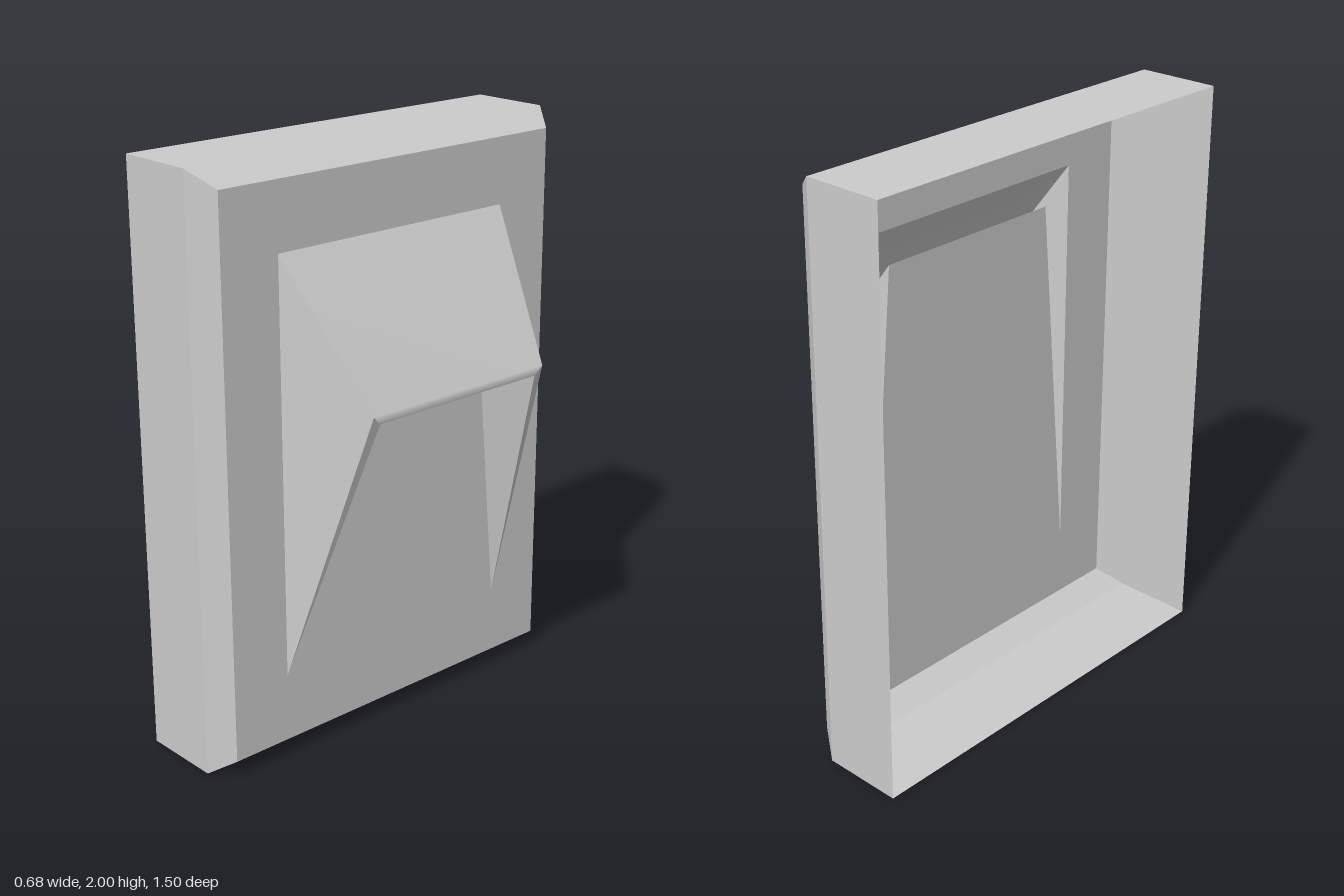
import * as THREE from 'three';

const material = new THREE.MeshStandardMaterial({ color: 0xcccccc, side: THREE.DoubleSide });

// Builds flat polygons (each a fan of [x, y, z] corners, counter-clockwise from outside).
function panels(name, faces) {
  const positions = [];
  for (const f of faces)
    for (let i = 1; i < f.length - 1; i++) positions.push(...f[0], ...f[i], ...f[i + 1]);
  const geometry = new THREE.BufferGeometry();
  geometry.setAttribute('position', new THREE.Float32BufferAttribute(positions, 3));
  geometry.computeVertexNormals();
  const mesh = new THREE.Mesh(geometry, material);
  mesh.name = name;
  return mesh;
}

// Rectangle in the plane x, inset from the full 2 x 1.5 outline.
function ring(x, inset) {
  const lo = inset, hi = 2 - inset, w = 0.75 - inset;
  return [[x, lo, w], [x, lo, -w], [x, hi, -w], [x, hi, w]];
}

function band(name, a, b) {
  return panels(name, a.map((p, i) => {
    const j = (i + 1) % 4;
    return [p, a[j], b[j], b[i]];
  }));
}

// Mirrors a face across z = 0, keeping its outside outward.
const mirrored = (face) => [face, face.map(([x, y, z]) => [x, y, -z]).reverse()];

export function createModel() {
  const group = new THREE.Group();
  group.name = 'hoodedPlate';

  // Open-backed frame with a chamfered front edge
  const back = ring(-0.34, 0), shoulder = ring(-0.055, 0), front = ring(0.03, 0.058);
  group.add(band('frameSides', back, shoulder), band('frameChamfer', shoulder, front));

  // Hood corners on the +z side
  const foot = [0.03, 0.295, 0.475];
  const top = [0.03, 1.715, 0.475];
  const peak = [0.34, 1.25, 0.37];
  const innerTop = [0.03, 1.6, 0.36];
  const innerPeak = [0.335, 1.22, 0.34];
  const flip = ([x, y, z]) => [x, y, -z];

  // Face plate, cut out behind the thickness of the hood
  const shape = new THREE.Shape(front.map(([, y, z]) => new THREE.Vector2(-z, y)));
  shape.holes.push(new THREE.Path(
    [foot, top, flip(top), flip(foot), flip(innerTop), innerTop]
      .map(([, y, z]) => new THREE.Vector2(-z, y))));
  const plate = new THREE.Mesh(new THREE.ShapeGeometry(shape), material);
  plate.name = 'facePlate';
  plate.rotation.y = Math.PI / 2;
  plate.position.x = 0.03;
  group.add(plate);

  // Hood roof, shaded smoothly into its front lip
  const roofGeometry = new THREE.BufferGeometry();
  roofGeometry.setAttribute('position', new THREE.Float32BufferAttribute(
    [top, peak, innerPeak].flatMap((p) => [...p, ...flip(p)]), 3));
  roofGeometry.setIndex([0, 2, 3, 0, 3, 1, 2, 4, 5, 2, 5, 3]);
  roofGeometry.computeVertexNormals();
  const roof = new THREE.Mesh(roofGeometry, material);
  roof.name = 'hoodRoof';
  group.add(roof);

  // Hood side walls, rim edges and inner lining
  group.add(
    panels('hoodSides', mirrored([foot, peak, top])),
    panels('hoodRim', mirrored([foot, innerPeak, peak])),
    panels('hoodInnerSides', mirrored([foot, innerTop, innerPeak])),
    panels('hoodInnerRoof', [[innerTop, flip(innerTop), flip(innerPeak), innerPeak]]));

  return group;
}
